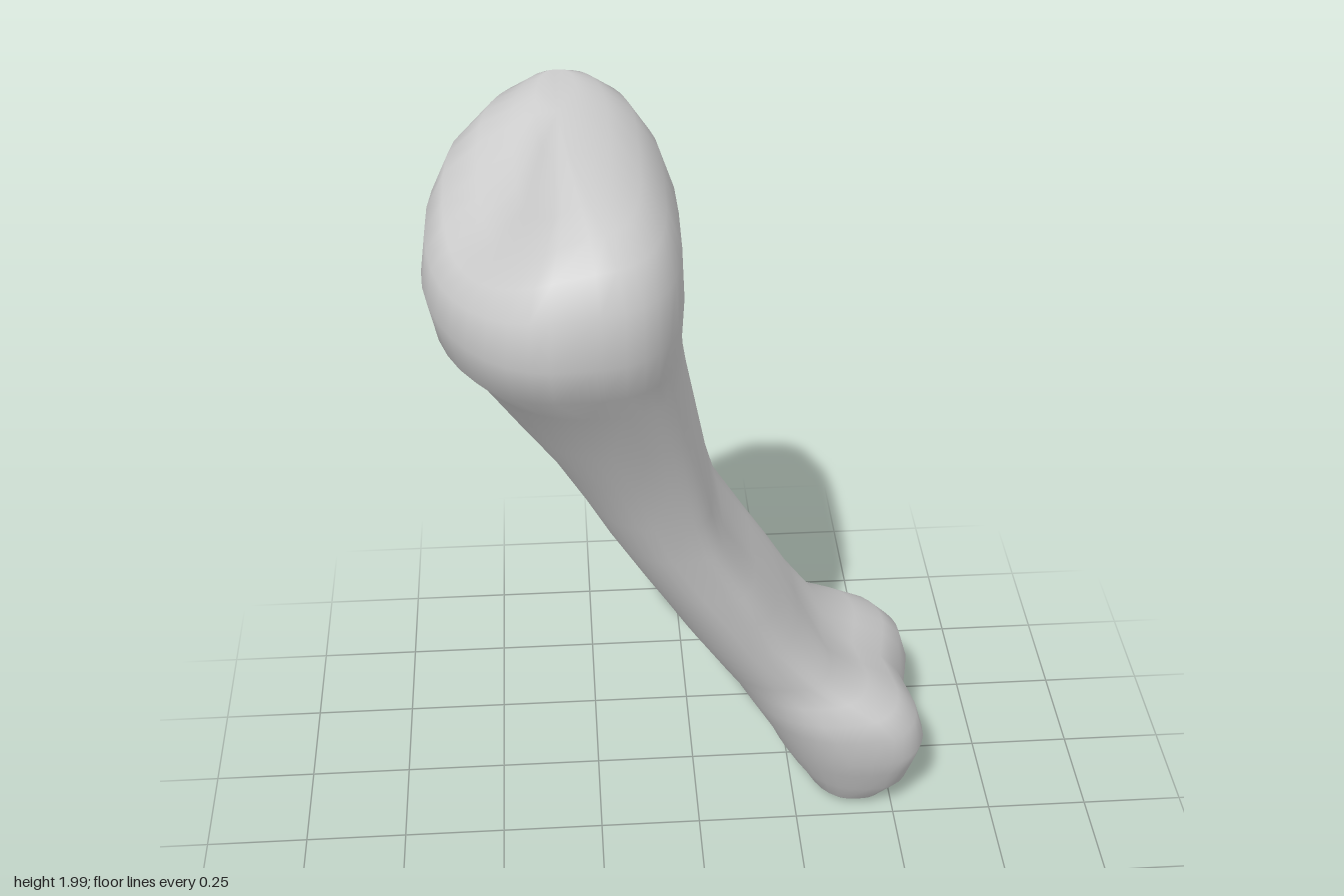
import * as THREE from 'three';

const SIDES = 36;

// Lower joint, from the ground up: y, xMin, xMax, zMin, zMax, waist, tilt
const lowerJoint = [
  [0.01, 0.32, 0.43, -0.38, -0.06, 0, 0.12],
  [0.035, 0.28, 0.50, -0.44, -0.03, 0.01, 0.1],
  [0.10, 0.24, 0.56, -0.48, 0.01, 0.03, 0.05],
  [0.16, 0.205, 0.58, -0.505, 0.035, 0.04, 0],
  [0.22, 0.18, 0.592, -0.512, 0.06, 0.045, 0],
  [0.30, 0.135, 0.57, -0.505, 0.07, 0.045, 0],
  [0.355, 0.105, 0.52, -0.485, 0.068, 0.04, 0],
  [0.40, 0.08, 0.44, -0.46, 0.05, 0.035, 0],
  [0.46, 0.045, 0.34, -0.415, 0.045, 0.02, 0],
];

// Shaft: y, xMin, xMax, zMin, zMax, then squareness of the front and rear corner on +x
const shaft = [
  [0.60, -0.045, 0.25, -0.37, 0.08, 2.7, 3.4],
  [0.70, -0.10, 0.195, -0.355, 0.10, 3.2, 3.4],
  [0.80, -0.155, 0.135, -0.345, 0.125, 4, 3.3],
  [0.94, -0.23, 0.055, -0.325, 0.155, 5, 3.2],
  [1.06, -0.285, 0.025, -0.30, 0.195, 5, 3],
  [1.20, -0.355, 0.0, -0.27, 0.245, 4.5, 3],
  [1.34, -0.435, -0.025, -0.25, 0.32, 4, 3],
  [1.49, -0.52, -0.047, -0.245, 0.40, 3.6, 3],
];

// Upper joint: y, xMin, xMax, zMin, zMax, tilt, dip of the front corner
const upperJoint = [
  [1.57, -0.575, -0.05, -0.26, 0.465, 0, 0],
  [1.67, -0.593, -0.046, -0.277, 0.51, 0, 0],
  [1.79, -0.58, -0.05, -0.267, 0.495, 0.01, 0.04],
  [1.88, -0.54, -0.08, -0.255, 0.455, 0.04, 0.08],
  [1.95, -0.465, -0.13, -0.24, 0.39, 0.09, 0.09],
  [1.985, -0.39, -0.19, -0.215, 0.31, 0.11, 0.07],
  [2.0, -0.34, -0.25, -0.19, 0.15, 0.12, 0.02],
];

// fx, fz: where the widest lines cross, as a share of the bounds.
// corners: squareness at (+x+z), (-x+z), (-x-z), (+x-z)
const sections = [
  ...lowerJoint.map(([y, x0, x1, z0, z1, waist, tilt]) =>
    ({ y, x0, x1, z0, z1, waist, tilt, pivot: -0.1, fx: 0.6, fz: 0.5, corners: [3, 2.3, 2.1, 3.2] })),
  ...shaft.map(([y, x0, x1, z0, z1, front, rear]) =>
    ({ y, x0, x1, z0, z1, fx: 0.55, fz: 0.45, corners: [front, 2, 2.6, rear] })),
  ...upperJoint.map(([y, x0, x1, z0, z1, tilt, dip]) =>
    ({ y, x0, x1, z0, z1, tilt, dip, pivot: -0.2, fx: 0.48, fz: 0.45, corners: [3.4, 1.9, 2.4, 3.2] })),
];

// One rounded outline that fills the bounds of its section
function ring({ y, x0, x1, z0, z1, fx, fz, corners, waist = 0, tilt = 0, dip = 0, pivot = 0 }) {
  const { lerp, smoothstep } = THREE.MathUtils;
  const cx = lerp(x0, x1, fx), cz = lerp(z0, z1, fz);
  return Array.from({ length: SIDES }, (_, j) => {
    const a = (j / SIDES) * Math.PI * 2, c = Math.cos(a), s = Math.sin(a);
    const power = corners[Math.floor(4 * j / SIDES)];
    const u = Math.sign(c) * Math.abs(c) ** (2 / power);
    const v = Math.sign(s) * Math.abs(s) ** (2 / power);
    const x = cx + u * (u > 0 ? x1 - cx : cx - x0);
    const z = cz + v * (v > 0 ? z1 - cz : cz - z0);
    return new THREE.Vector3(
      x - waist * Math.max(0, u) * Math.exp(-((v / 0.4) ** 2)),
      y - tilt * (z - pivot) - dip * Math.max(0, 0.2 - u) * smoothstep(v, -0.6, 0.6),
      z);
  });
}

// Skin over all sections, closed at both ends
function loft(rings) {
  const points = rings.flat(), index = [];
  for (let i = 0; i < rings.length - 1; i++) {
    for (let j = 0; j < SIDES; j++) {
      const k = (j + 1) % SIDES;
      const a = i * SIDES + j, b = i * SIDES + k;
      index.push(a, a + SIDES, b, b, a + SIDES, b + SIDES);
    }
  }
  const middle = r => r.reduce((m, p) => m.add(p), new THREE.Vector3()).divideScalar(SIDES);
  const top = (rings.length - 1) * SIDES, n = points.length;
  points.push(middle(rings[0]), middle(rings[rings.length - 1]));
  for (let j = 0; j < SIDES; j++) {
    const k = (j + 1) % SIDES;
    index.push(n, j, k, n + 1, top + k, top + j);
  }
  const geometry = new THREE.BufferGeometry().setFromPoints(points);
  geometry.setIndex(index);
  geometry.computeVertexNormals();
  return geometry;
}

export function createModel() {
  const group = new THREE.Group();
  group.name = 'longBone';
  const bone = new THREE.Mesh(loft(sections.map(ring)), new THREE.MeshStandardMaterial({ color: 0xcccccc }));
  bone.name = 'boneShaftAndJoints';
  group.add(bone);
  return group;
}
